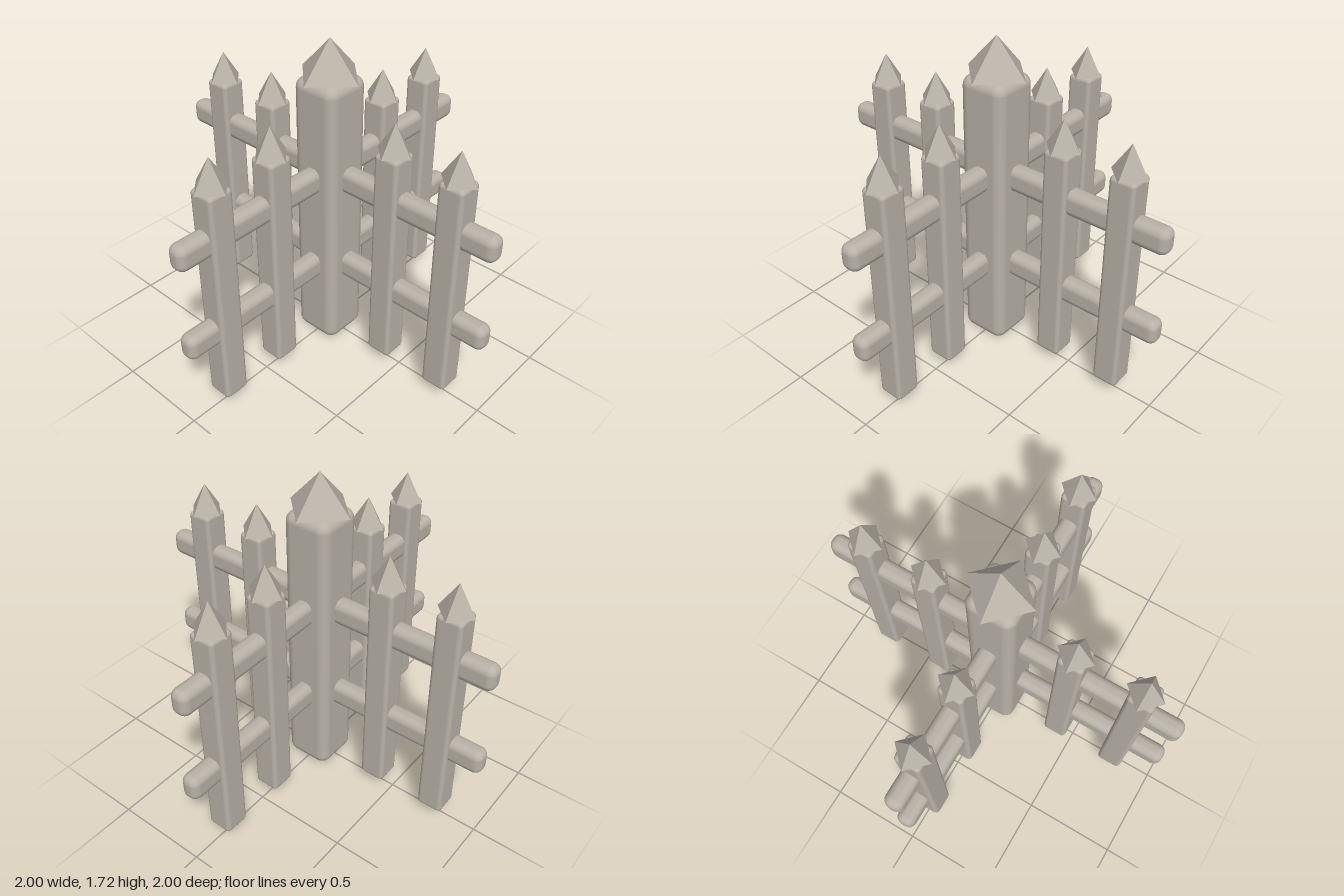
import * as THREE from 'three';
import { RoundedBoxGeometry } from 'three/addons/geometries/RoundedBoxGeometry.js';

export function createModel() {
  const model = new THREE.Group();
  model.name = 'crossFence';
  const stone = new THREE.MeshStandardMaterial({ color: 0xb8b2a7 });
  stone.name = 'paleStone';

  const add = (parent, name, geometry, x, y, z = 0) => {
    const mesh = new THREE.Mesh(geometry, stone);
    mesh.name = name;
    mesh.position.set(x, y, z);
    parent.add(mesh);
  };

  // Four-sided pointed cap with crisp facets, corners on the axes
  const pyramid = (radius, height) => {
    const g = new THREE.ConeGeometry(radius, height, 4).toNonIndexed();
    g.computeVertexNormals();
    return g;
  };

  // Central post and its cap
  add(model, 'centerPost', new RoundedBoxGeometry(0.26, 1.525, 0.26, 4, 0.055), 0, 0.7625);
  add(model, 'centerCap', pyramid(0.178, 0.19), 0, 1.62);

  const picket = new RoundedBoxGeometry(0.137, 1.202, 0.137, 3, 0.022);
  const picketCap = pyramid(0.098, 0.155);
  const rail = new RoundedBoxGeometry(1, 0.137, 0.1, 4, 0.042);

  // Four identical fence arms around the post
  ['leftArm', 'backArm', 'rightArm', 'frontArm'].forEach((name, i) => {
    const arm = new THREE.Group();
    arm.name = name;
    arm.rotation.y = i * Math.PI / 2;
    for (const y of [0.482, 1.003]) add(arm, 'rail', rail, 0.5, y);
    for (const x of [0.4, 0.76]) {
      add(arm, 'picket', picket, x, 0.661);
      add(arm, 'picketCap', picketCap, x, 1.34);
    }
    model.add(arm);
  });

  return model;
}
